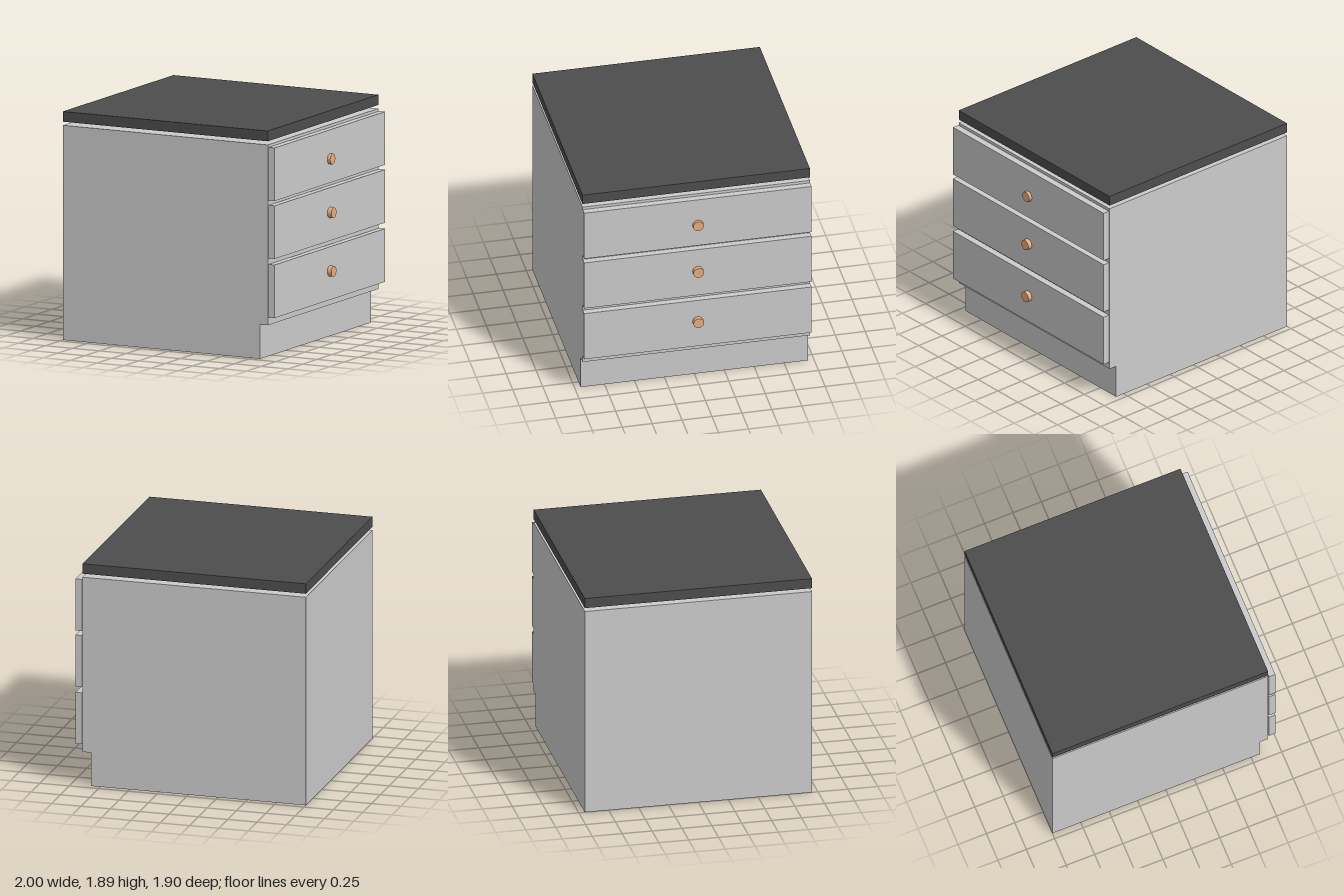
import * as THREE from 'three';

const DEPTH = 1.9;

function material(color) {
  return new THREE.MeshStandardMaterial({ color });
}

export function createModel() {
  const model = new THREE.Group();
  model.name = 'drawerCabinet';
  const grey = material(0xcccccc);
  const dark = material(0x4d4d4d);
  const copper = material(0xe6ad80);

  function add(name, geometry, mat, x, y) {
    const mesh = new THREE.Mesh(geometry, mat);
    mesh.name = name;
    mesh.position.set(x, y, 0);
    model.add(mesh);
    return mesh;
  }

  // Box spanning the full depth between two corners of the side profile
  function slab(name, x0, x1, y0, y1, mat) {
    add(name, new THREE.BoxGeometry(x1 - x0, y1 - y0, DEPTH), mat, (x0 + x1) / 2, (y0 + y1) / 2);
  }

  // Cabinet body with a recessed toe kick below the drawers
  const profile = new THREE.Shape([
    [-1, 0], [0.83, 0], [0.83, 0.285], [0.9, 0.285], [0.9, 1.78], [-1, 1.78],
  ].map(([x, y]) => new THREE.Vector2(x, y)));
  const body = new THREE.ExtrudeGeometry(profile, { depth: DEPTH, bevelEnabled: false });
  body.translate(0, 0, -DEPTH / 2);
  add('cabinetBody', body, grey, 0, 0);

  // Worktop, set slightly above the body
  slab('worktop', -1, 0.9, 1.81, 1.895, dark);

  // Drawer fronts, each with a round knob
  const drawers = [
    { name: 'lower', bottom: 0.35, top: 0.79, knobY: 0.59, knobEnd: 1 },
    { name: 'middle', bottom: 0.84, top: 1.28, knobY: 1.075, knobEnd: 1 },
    { name: 'upper', bottom: 1.32, top: 1.76, knobY: 1.52, knobEnd: 0.99 },
  ];
  for (const { name, bottom, top, knobY, knobEnd } of drawers) {
    slab(name + 'DrawerFront', 0.907, 0.963, bottom, top, grey);
    const length = knobEnd - 0.963;
    const knob = new THREE.CylinderGeometry(0.044, 0.044, length, 32);
    knob.rotateZ(-Math.PI / 2);
    add(name + 'DrawerKnob', knob, copper, 0.963 + length / 2, knobY);
  }

  return model;
}
